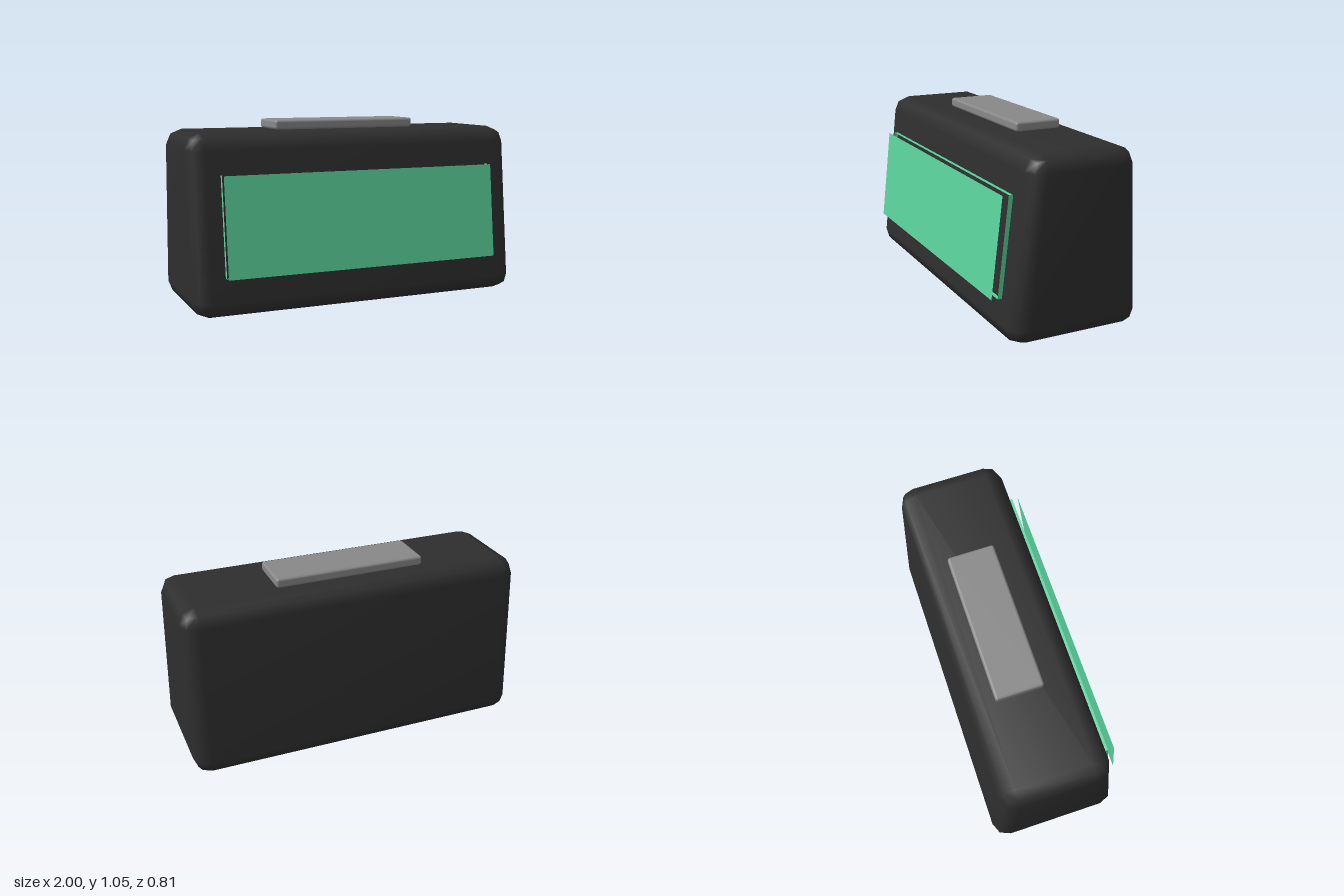
import * as THREE from 'three';
import { mergeVertices } from 'three/addons/utils/BufferGeometryUtils.js';
import { RoundedBoxGeometry } from 'three/addons/geometries/RoundedBoxGeometry.js';

// Rounded box that leans in towards the top while keeping its bevel size
function taperedBody() {
  const half = 0.3;
  let geo = new RoundedBoxGeometry(2, 1, half * 2, 1, 0.09);
  geo.clearGroups();
  geo.deleteAttribute('uv');
  geo.deleteAttribute('normal');
  const p = geo.attributes.position;
  for (let i = 0; i < p.count; i++) {
    const y = p.getY(i) + 0.5;
    const z = p.getZ(i);
    const front = 0.367 - 0.112 * y;
    const back = 0.41 - 0.055 * y;
    p.setXYZ(i, p.getX(i), y, z > 0 ? z + front - half : z - back + half);
  }
  geo = mergeVertices(geo, 1e-4);
  geo.computeVertexNormals();
  return geo;
}

export function createModel() {
  const casing = new THREE.MeshStandardMaterial({ color: 0x2e2e2e });
  casing.name = 'charcoal';
  const grey = new THREE.MeshStandardMaterial({ color: 0x888888 });
  grey.name = 'grey';
  const green = new THREE.MeshStandardMaterial({ color: 0x5bd39d, side: THREE.DoubleSide });
  green.name = 'displayGreen';

  const model = new THREE.Group();
  model.name = 'deskClock';
  const add = (parent, name, geo, mat, x = 0, y = 0, z = 0) => {
    const mesh = new THREE.Mesh(geo, mat);
    mesh.name = name;
    mesh.position.set(x, y, z);
    parent.add(mesh);
    return mesh;
  };

  add(model, 'body', taperedBody(), casing);
  add(model, 'topButton', new RoundedBoxGeometry(0.88, 0.055, 0.275, 2, 0.015), grey, 0, 1.0275, -0.078);

  // Display: an open rim on the sloping front with a face floating before it
  const display = new THREE.Group();
  display.name = 'display';
  display.position.set(0, 0.5, 0.311);
  display.rotation.x = -Math.atan(0.112);
  model.add(display);
  const w = 1.66, h = 0.555, d = 0.025;
  for (const s of [-1, 1]) {
    const edge = add(display, s > 0 ? 'rimTop' : 'rimBottom', new THREE.PlaneGeometry(w, d), green, 0, s * h / 2, d / 2);
    edge.rotation.x = -s * Math.PI / 2;
    const side = add(display, s > 0 ? 'rimLeft' : 'rimRight', new THREE.PlaneGeometry(d, h), green, s * w / 2, 0, d / 2);
    side.rotation.y = s * Math.PI / 2;
  }
  add(display, 'displayFace', new THREE.PlaneGeometry(w, h), green, 0, -0.004, d + 0.035);

  return model;
}
